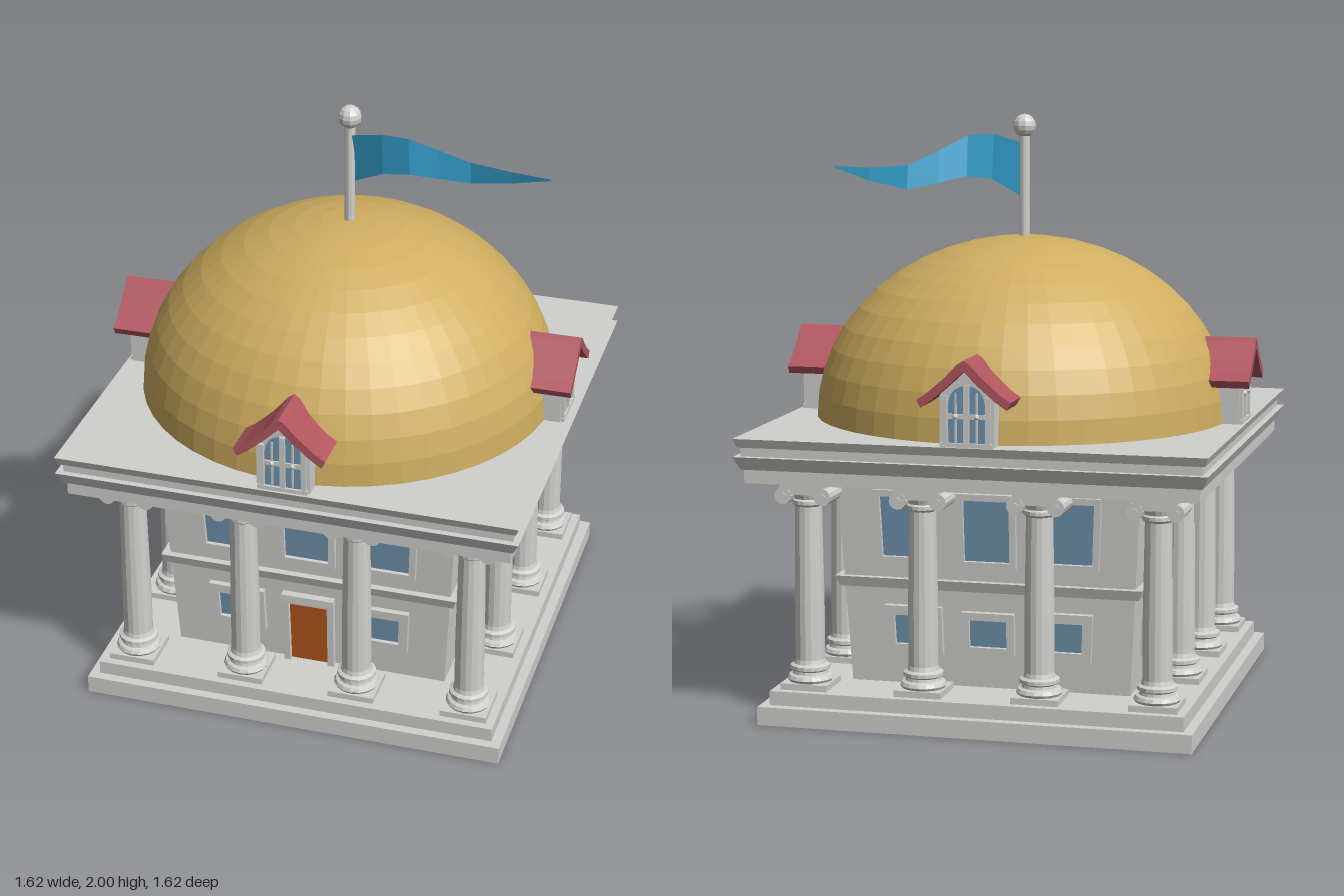
import * as THREE from 'three';

const paint = (name, color, extra = {}) => {
  const m = new THREE.MeshStandardMaterial({ color, flatShading: true, ...extra });
  m.name = name;
  return m;
};

export function createModel() {
  const stone = paint('stone', 0xd0d0ce);
  const gold = paint('gold', 0xcfae60);
  const red = paint('roofRed', 0xb2565f);
  const glass = paint('glass', 0x7094b0);
  const wood = paint('doorWood', 0xb4561c);
  const blue = paint('flagBlue', 0x38a8d6, { side: THREE.DoubleSide });

  const model = new THREE.Group();
  model.name = 'domedHall';

  const add = (parent, name, geo, mat, x = 0, y = 0, z = 0) => {
    const m = new THREE.Mesh(geo, mat);
    m.name = name;
    m.position.set(x, y, z);
    parent.add(m);
    return m;
  };
  const group = (parent, name) => {
    const g = new THREE.Group();
    g.name = name;
    parent.add(g);
    return g;
  };
  const box = (parent, name, mat, w, h, d, x, y, z) =>
    add(parent, name, new THREE.BoxGeometry(w, h, d), mat, x, y, z);
  // Square slab with its own half width at bottom and top
  const slab = (name, bottom, top, y0, y1) => {
    const g = new THREE.CylinderGeometry(top * Math.SQRT2, bottom * Math.SQRT2, y1 - y0, 4);
    return add(model, name, g.rotateY(Math.PI / 4), stone, 0, (y0 + y1) / 2, 0);
  };
  const shapeOf = pts => new THREE.Shape(pts.map(p => new THREE.Vector2(p[0], p[1])));
  const extrude = (shape, depth) =>
    new THREE.ExtrudeGeometry(shape, { depth, bevelEnabled: false, curveSegments: 8 });

  // Steps, flaring walls, belt and cornice
  const wallHalf = y => 0.478 + 0.04 * (y - 0.11) / 0.71;
  slab('lowerStep', 0.733, 0.733, 0, 0.062);
  slab('upperStep', 0.7, 0.7, 0.062, 0.11);
  slab('walls', wallHalf(0.11), wallHalf(0.82), 0.11, 0.82);
  slab('beltCourse', 0.512, 0.524, 0.44, 0.475);
  slab('architrave', 0.757, 0.757, 0.82, 0.866);
  slab('lowerCornice', 0.766, 0.787, 0.866, 0.91);
  slab('frieze', 0.765, 0.765, 0.91, 0.94);
  slab('upperCornice', 0.774, 0.787, 0.94, 0.97);

  // Windows lean and widen with the wall
  const tilt = Math.atan(0.04 / 0.71);
  const windowUnit = (side, x, hw, y0, y1, rim, open = glass, name = 'window') => {
    const unit = group(side, name);
    const mid = (y0 + y1) / 2;
    unit.position.set(0, mid, wallHalf(mid));
    unit.rotation.x = tilt;
    const quad = (b, low) => [[-1, -1], [1, -1], [1, 1], [-1, 1]].map(([sx, sy]) => {
      const y = sy < 0 ? y0 - low : y1 + b;
      return [(x + sx * (hw + b)) * wallHalf(y) / wallHalf(mid), y - mid];
    });
    const frame = shapeOf(quad(rim, open === wood ? 0 : rim));
    if (open === wood) {
      // The door frame is open at the floor
      const [a, b, c, d] = quad(rim, 0), [e, f, g, h] = quad(0, 0);
      add(unit, 'doorFrame', extrude(shapeOf([a, e, h, g, f, b, c, d]), 0.025), stone);
    } else {
      frame.holes.push(new THREE.Path(quad(0, 0).map(p => new THREE.Vector2(...p))));
      add(unit, 'windowFrame', extrude(frame, 0.02), stone);
    }
    add(unit, open === wood ? 'doorLeaf' : 'windowGlass', extrude(shapeOf(quad(0, 0)), 0.006), open);
    return unit;
  };

  // Roof window with arched panes and a flared gable roof
  const dormer = side => {
    const g = group(side, 'dormer');
    add(g, 'dormerBody', extrude(shapeOf(
      [[-0.09, 0.965], [0.09, 0.965], [0.09, 1.14], [0, 1.23], [-0.09, 1.14]]), 0.205), stone, 0, 0, 0.56);
    const top = [[-0.155, 1.125], [-0.12, 1.148], [-0.06, 1.2], [-0.02, 1.243], [0, 1.255],
      [0.02, 1.243], [0.06, 1.2], [0.12, 1.148], [0.155, 1.125]];
    const under = [[0.142, 1.1], [0.105, 1.125], [0.05, 1.172], [0, 1.22],
      [-0.05, 1.172], [-0.105, 1.125], [-0.142, 1.1]];
    add(g, 'dormerRoof', extrude(shapeOf([...top, ...under]), 0.26), red, 0, 0, 0.548);
    for (const s of [-1, 1]) {
      const pane = new THREE.Shape();
      pane.moveTo(s * 0.01, 0.98);
      pane.lineTo(s * 0.06, 0.98);
      pane.lineTo(s * 0.06, 1.11);
      pane.quadraticCurveTo(s * 0.055, 1.16, s * 0.01, 1.168);
      add(g, 'dormerPane', extrude(pane, 0.004), glass, 0, 0, 0.765);
      box(g, 'dormerMuntin', stone, 0.052, 0.016, 0.012, s * 0.035, 1.07, 0.769);
      box(g, 'dormerUpright', stone, 0.007, 0.17, 0.01, s * 0.035, 1.062, 0.768);
      box(g, 'dormerEdge', stone, 0.018, 0.17, 0.014, s * 0.072, 1.05, 0.769);
      add(g, 'dormerBoss', new THREE.SphereGeometry(0.009, 8, 6), stone, s * 0.035, 1.07, 0.775);
    }
    box(g, 'dormerMullion', stone, 0.018, 0.2, 0.014, 0, 1.07, 0.769);
    box(g, 'dormerSill', stone, 0.17, 0.014, 0.016, 0, 0.977, 0.77);
  };

  // Four facades; only the front has a door
  ['front', 'left', 'back', 'right'].forEach((label, i) => {
    const side = group(model, label + 'Facade');
    side.rotation.y = i * Math.PI / 2;
    for (const s of [-1, 1]) {
      windowUnit(side, s * 0.29, 0.072, 0.55, 0.755, 0.022);
      windowUnit(side, s * 0.255, 0.066, 0.25, 0.35, 0.032);
    }
    windowUnit(side, 0, 0.078, 0.545, 0.753, 0.022);
    box(side, 'windowHead', stone, 0.17, 0.014, 0.03, 0, 0.792, wallHalf(0.79) + 0.012);
    if (i === 0) {
      windowUnit(side, 0, 0.068, 0.11, 0.355, 0.022, wood, 'door');
      box(side, 'doorHead', stone, 0.185, 0.026, 0.045, 0, 0.376, wallHalf(0.376) + 0.006);
    } else {
      windowUnit(side, 0, 0.064, 0.252, 0.345, 0.026);
    }
    dormer(side);
  });

  // Columns with scrolled capitals
  const profile = [[0.072, 0.13], [0.078, 0.14], [0.072, 0.152], [0.06, 0.156], [0.058, 0.166],
    [0.067, 0.172], [0.067, 0.184], [0.054, 0.19], [0.05, 0.205], [0.05, 0.4], [0.045, 0.725],
    [0.054, 0.733], [0.054, 0.745], [0.047, 0.75], [0.06, 0.785]];
  const shaftGeo = new THREE.LatheGeometry(profile.map(p => new THREE.Vector2(...p)), 16);
  const scrollGeo = new THREE.CylinderGeometry(0.029, 0.029, 0.13, 12).rotateX(Math.PI / 2);
  const eyeGeo = new THREE.CylinderGeometry(0.012, 0.012, 0.142, 8).rotateX(Math.PI / 2);
  const column = (x, z, turn) => {
    const c = group(model, 'column');
    c.position.set(x, 0, z);
    c.rotation.y = turn;
    box(c, 'columnPlinth', stone, 0.16, 0.022, 0.16, 0, 0.12, 0);
    add(c, 'columnShaft', shaftGeo, stone);
    box(c, 'scrollBand', stone, 0.136, 0.022, 0.122, 0, 0.779, 0);
    box(c, 'columnAbacus', stone, 0.15, 0.03, 0.145, 0, 0.805, 0);
    for (const s of [-1, 1]) {
      add(c, 'scroll', scrollGeo, stone, s * 0.068, 0.764, 0);
      add(c, 'scrollEye', eyeGeo, stone, s * 0.068, 0.764, 0);
    }
  };
  const spots = [-0.592, -0.198, 0.198, 0.592];
  for (const s of [-0.592, 0.592]) {
    for (const x of spots) column(x, s, 0);
    for (const z of spots.slice(1, 3)) column(s, z, Math.PI / 2);
  }

  // Dome
  const domeGeo = new THREE.SphereGeometry(1, 48, 12, 0, Math.PI * 2, 0, Math.PI / 2);
  add(model, 'dome', domeGeo.scale(0.715, 0.617, 0.715), gold, 0, 0.969, 0);

  // Flagpole and finial
  add(model, 'flagpole', new THREE.CylinderGeometry(0.018, 0.018, 0.38, 10), stone, 0, 1.755, 0);
  add(model, 'finial', new THREE.SphereGeometry(0.04, 10, 8), stone, 0, 1.96, 0);

  // Waving pennant: x, top, bottom, z of each cross-section
  const waves = [[0.012, 1.9, 1.722, 0], [0.12, 1.928, 1.775, 0.03], [0.21, 1.922, 1.783, 0.026],
    [0.3, 1.872, 1.76, -0.02], [0.4, 1.822, 1.74, -0.058], [0.54, 1.81, 1.766, -0.046],
    [0.677, 1.814, 1.808, -0.016]];
  const flagGeo = new THREE.PlaneGeometry(1, 1, waves.length - 1, 2);
  const pos = flagGeo.attributes.position;
  for (let i = 0; i < pos.count; i++) {
    const [x, top, bottom, z] = waves[i % waves.length];
    const row = Math.floor(i / waves.length);
    const lean = (1 - row) * 0.08 * (top - bottom);
    pos.setXYZ(i, x, top + (bottom - top) * row / 2, z + lean);
  }
  flagGeo.computeVertexNormals();
  add(model, 'flag', flagGeo, blue);

  return model;
}
